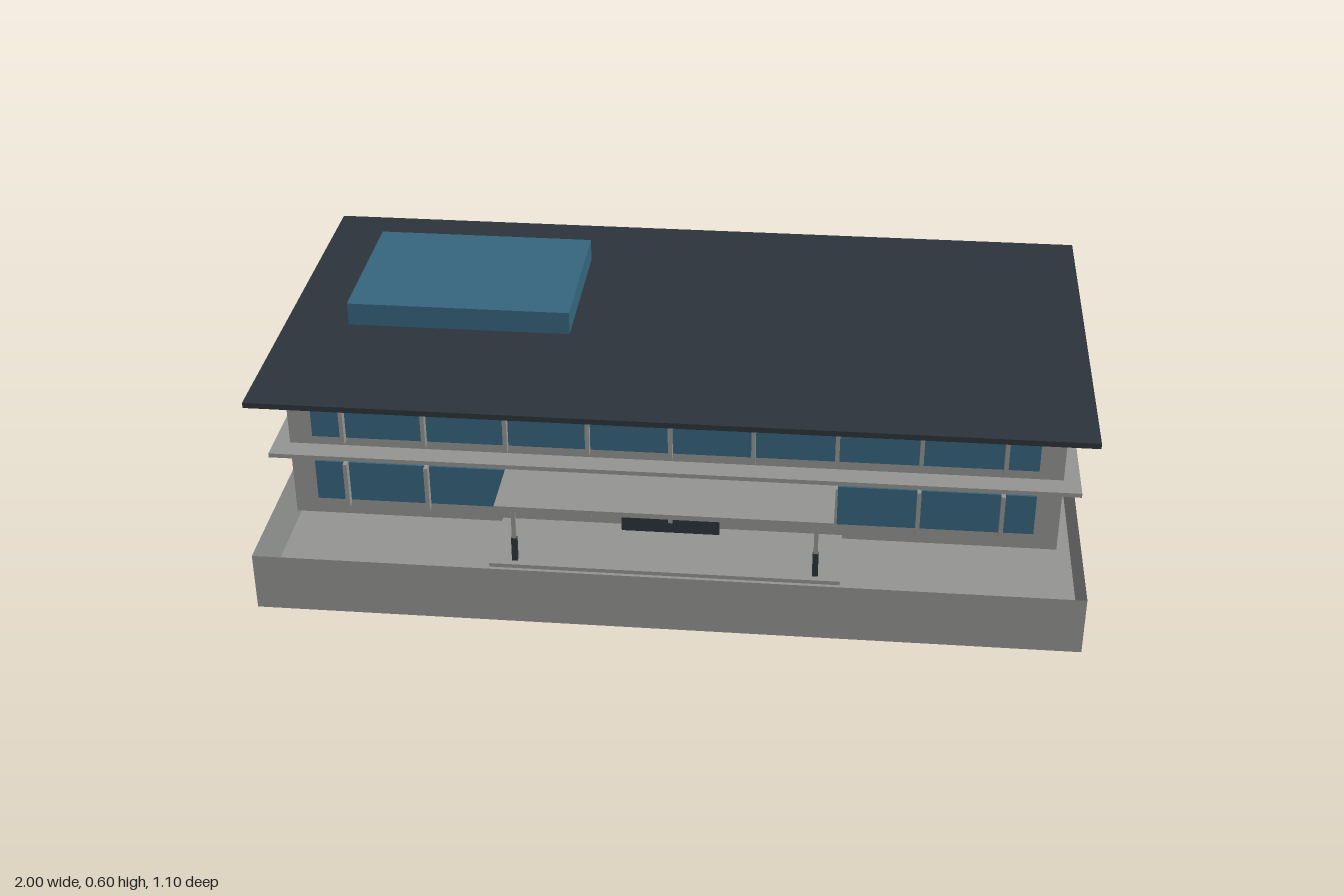
import * as THREE from 'three';

const concrete = new THREE.MeshStandardMaterial({ color: 0x949693, side: THREE.DoubleSide });
concrete.name = 'concrete grey';
const slate = new THREE.MeshStandardMaterial({ color: 0x2c343b });
slate.name = 'dark slate';
const glass = new THREE.MeshStandardMaterial({ color: 0x36667f });
glass.name = 'blue glass';

export function createModel() {
  const model = new THREE.Group();
  model.name = 'officeBuilding';

  // Box given by its min and max along each axis
  const box = (name, material, [x0, x1], [y0, y1], [z0, z1], parent = model) => {
    const mesh = new THREE.Mesh(new THREE.BoxGeometry(x1 - x0, y1 - y0, z1 - z0), material);
    mesh.position.set((x0 + x1) / 2, (y0 + y1) / 2, (z0 + z1) / 2);
    mesh.name = name;
    parent.add(mesh);
    return mesh;
  };

  // Base: thin-walled tray, open at the top (the +y face is dropped)
  const base = box('base', concrete, [-1, 1], [0, 0.15], [-0.55, 0.55]);
  const index = Array.from(base.geometry.index.array);
  index.splice(12, 6);
  base.geometry.setIndex(index);
  base.geometry.clearGroups();

  // Main block, belt slab and roof
  box('walls', concrete, [-0.94, 0.94], [0.15, 0.527], [-0.515, 0.342]);
  box('beltSlab', concrete, [-0.98, 0.98], [0.338, 0.349], [-0.527, 0.398]);
  box('roof', slate, [-1, 1], [0.527, 0.541], [-0.55, 0.485]);
  box('skylight', glass, [-0.84, -0.28], [0.541, 0.6], [-0.34, 0.077]);

  // Window bands with upright fins, on two floors, front and back
  const sides = [
    { side: 'front', pane: [0.342, 0.351], fin: [0.354, 0.374] },
    { side: 'back', pane: [-0.526, -0.515], fin: [-0.55, -0.53] },
  ];
  for (const { side, pane, fin } of sides) {
    for (const y of [0.251, 0.43]) {
      const band = new THREE.Group();
      band.name = side + 'WindowBand';
      model.add(band);
      box('windowStrip', glass, [-0.88, 0.88], [y - 0.054, y + 0.054], pane, band);
      for (let i = -4; i <= 4; i++) {
        const x = i * 0.2;
        box('windowFin', concrete, [x - 0.005, x + 0.005], [y - 0.061, y + 0.061], fin, band);
      }
    }
  }

  // Entrance: landing, door, canopy and two posts with dark feet
  const entrance = new THREE.Group();
  entrance.name = 'entrance';
  model.add(entrance);
  box('landing', concrete, [-0.42, 0.42], [0.15, 0.16], [0.342, 0.541], entrance);
  box('door', slate, [-0.12, 0.12], [0.16, 0.3], [0.358, 0.37], entrance);
  box('canopy', concrete, [-0.4, 0.4], [0.317, 0.33], [0.342, 0.55], entrance);
  for (const x of [-0.36, 0.36]) {
    box('canopyPost', concrete, [x - 0.005, x + 0.005], [0.224, 0.312], [0.514, 0.524], entrance);
    box('postFoot', slate, [x - 0.007, x + 0.007], [0.16, 0.224], [0.513, 0.525], entrance);
  }

  return model;
}
